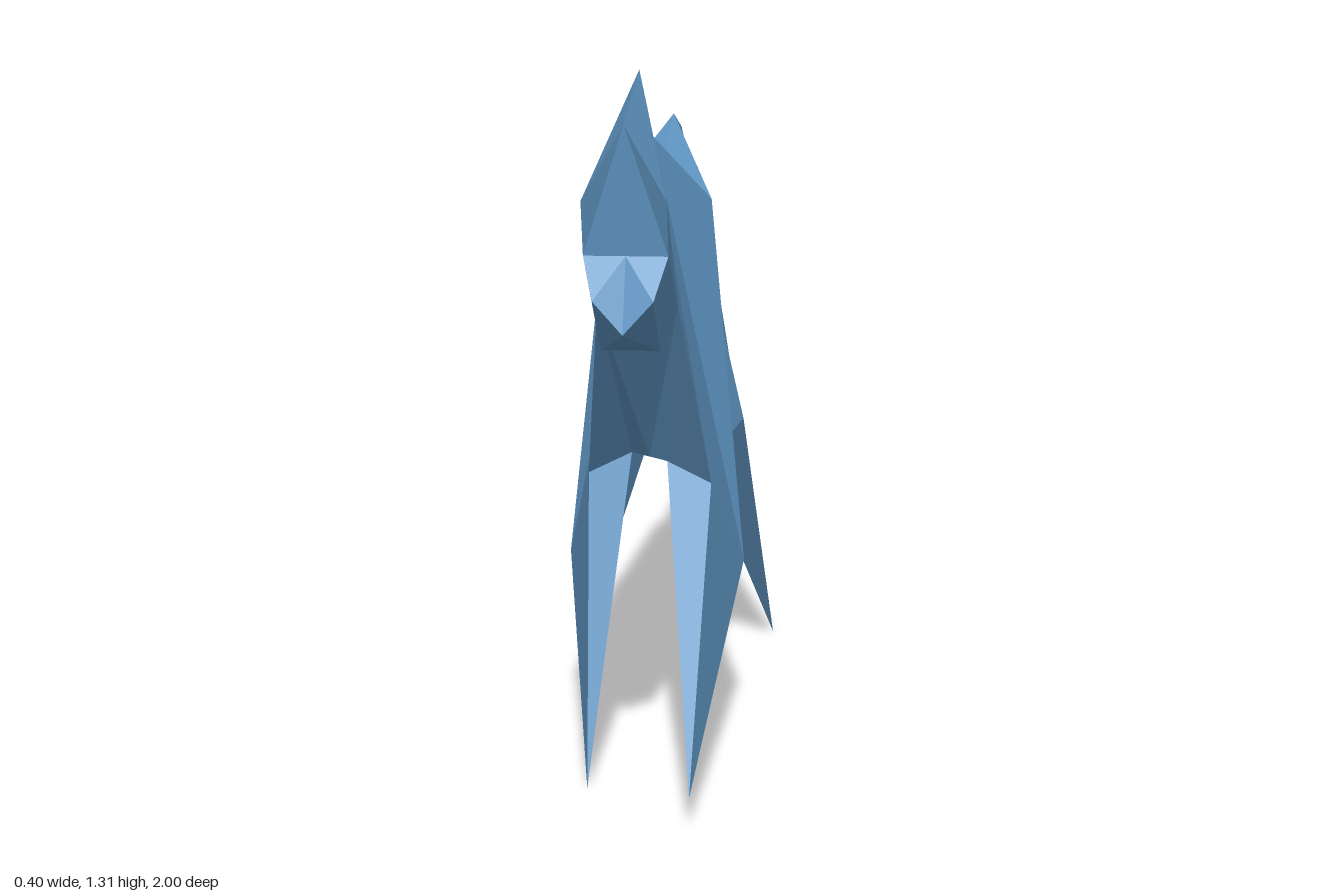
import * as THREE from 'three';

const material = new THREE.MeshStandardMaterial({
  color: 0x6096c4, flatShading: true, side: THREE.DoubleSide,
});

// Flat-faced mesh from named points and polygons (fanned from their first corner); side -1 mirrors it
function facets(name, points, faces, side = 1) {
  const positions = [];
  for (const face of faces) {
    const corners = face.split(' ').map((key) => points[key]);
    for (let i = 1; i < corners.length - 1; i++) {
      const tri = [corners[0], corners[i], corners[i + 1]];
      if (side < 0) tri.reverse();
      for (const [x, y, z] of tri) positions.push(x * side, y, z);
    }
  }
  const geometry = new THREE.BufferGeometry();
  geometry.setAttribute('position', new THREE.Float32BufferAttribute(positions, 3));
  geometry.computeVertexNormals();
  const mesh = new THREE.Mesh(geometry, material);
  mesh.name = name;
  return mesh;
}

// Points where neighbouring parts meet
const shared = {
  withers: [0, 1.155, 0.395], nape: [0, 1.09, 0.14], shoulder: [0.098, 1.02, 0.26],
  throat: [0.07, 0.91, 0.73], throatMid: [0, 0.91, 0.73],
  belly: [0.12, 0.55, 0.28], bellyMid: [0, 0.57, 0.28],
};

// Half of the head and neck
function headHalf(side) {
  const points = {
    ...shared,
    crown: [0, 1.31, 0.68], forehead: [0, 1.255, 0.97], brow: [0.07, 1.13, 0.97],
    cheek: [0.07, 1.035, 0.94], bridge: [0, 1.035, 0.94],
    lip: [0.05, 0.97, 0.995], nose: [0, 0.915, 1],
    jaw: [0.05, 0.86, 0.86], jawMid: [0, 0.86, 0.86],
  };
  return facets('headHalf', points, [
    'forehead brow crown',
    'throat withers crown brow cheek',
    'forehead bridge cheek brow',
    'bridge nose lip cheek',
    'lip nose jaw',
    'cheek lip jaw',
    'cheek jaw throat',
    'nose jawMid jaw',
    'jawMid throatMid throat jaw',
  ], side);
}

// One shoulder with its front leg; the two legs stride differently
function forequarter(side, elbowZ, kneeZ, foot) {
  const points = {
    ...shared, foot,
    elbow: [0.167, 0.345, elbowZ], knee: [0.115, 0.54, kneeZ],
    inner: [0.035, 0.58, kneeZ], chest: [0, 0.58, 0.49],
  };
  return facets(side > 0 ? 'leftForequarter' : 'rightForequarter', points, [
    'withers throat knee elbow shoulder',
    'throat throatMid chest inner knee',
    'knee foot elbow',
    'inner foot knee',
    'inner elbow foot',
    'shoulder elbow belly',
    'chest bellyMid belly inner',
    'inner belly elbow',
    'withers shoulder nape',
  ], side);
}

// Half of the trunk with its hind leg
function trunkHalf(side) {
  const points = {
    ...shared,
    back: [0, 1.135, -0.09], tailRoot: [0, 1.08, -0.3], rump: [0.065, 0.77, -0.39],
    flank: [0.15, 0.55, 0.06], crotch: [0, 0.62, 0.06], foot: [0.2, 0, -0.265],
  };
  return facets('trunkAndHindLeg', points, [
    'back nape shoulder belly flank foot rump tailRoot',
    'crotch foot flank',
    'crotch rump foot',
    'tailRoot rump crotch',
    'bellyMid crotch flank belly',
  ], side);
}

// Tail: triangular sections given as [topY, topZ, underY, underZ, halfWidth]
function tail() {
  const sections = [
    [1.055, -0.3, 0.885, -0.365, 0.035],
    [0.92, -0.8, 0.83, -0.73, 0.022],
    [0.6, -1, 0.6, -0.945, 0.011],
    [0.415, -0.935, 0.415, -0.935, 0],
  ];
  const points = {};
  const faces = ['t0 l0 r0'];
  sections.forEach(([ty, tz, uy, uz, w], i) => {
    points['t' + i] = [0, ty, tz];
    points['l' + i] = [w, uy, uz];
    points['r' + i] = [-w, uy, uz];
    if (i === 0) return;
    const j = i - 1;
    for (const [a, b] of ['tl', 'lr', 'rt']) faces.push(`${a}${j} ${b}${j} ${b}${i} ${a}${i}`);
  });
  return facets('tail', points, faces);
}

export function createModel() {
  const model = new THREE.Group();
  model.name = 'beast';

  const head = new THREE.Group();
  head.name = 'head';
  const trunk = new THREE.Group();
  trunk.name = 'trunk';
  for (const side of [1, -1]) {
    head.add(headHalf(side));
    trunk.add(trunkHalf(side));
  }

  model.add(
    head, trunk, tail(),
    forequarter(1, 0.35, 0.52, [0.1, 0.07, 0.87]),
    forequarter(-1, 0.31, 0.46, [0.1, 0, 0.66]),
  );
  return model;
}
